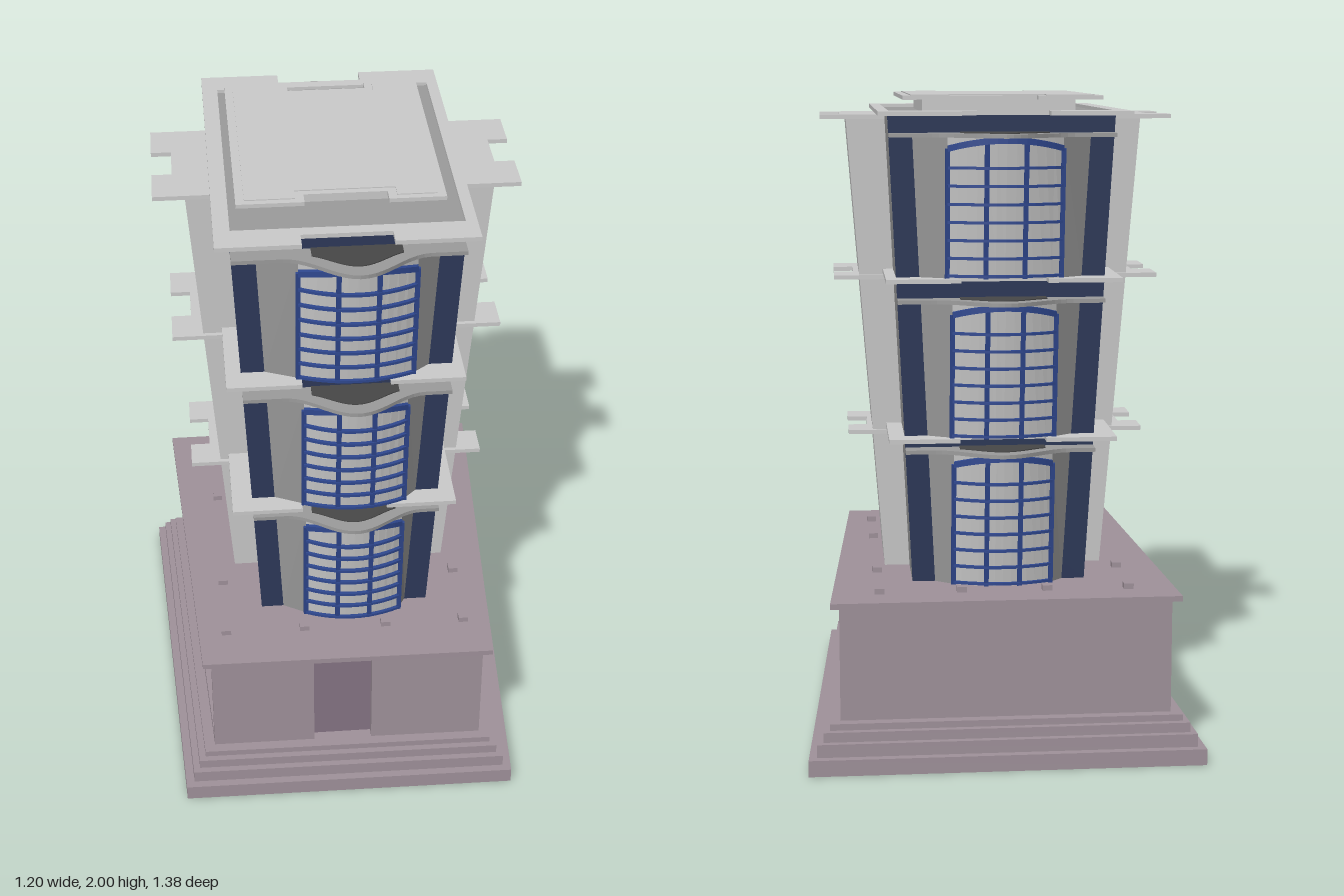
import * as THREE from 'three';

const mat = (color) => new THREE.MeshStandardMaterial({ color, side: THREE.DoubleSide, flatShading: true });
const light = mat(0xcccccc), grey = mat(0x9c9c9c), dark = mat(0x484848);
const navy = mat(0x2f3b5c), blue = mat(0x2f4890), stone = mat(0xa0929b), panel = mat(0x867484);

const V = (x, y, z) => new THREE.Vector3(x, y, z);
const lerp = THREE.MathUtils.lerp;

// Skin over rows of points; closed rows wrap round and get end caps
function skin(rows, closed = false) {
  const p = [];
  const tri = (...v) => v.forEach((q) => p.push(q.x, q.y, q.z));
  const n = rows[0].length;
  for (let r = 0; r < rows.length - 1; r++) {
    for (let i = 0; i < (closed ? n : n - 1); i++) {
      const j = (i + 1) % n, a = rows[r], b = rows[r + 1];
      tri(a[i], b[i], b[j]);
      tri(a[i], b[j], a[j]);
    }
  }
  if (closed) {
    for (let i = 1; i < n - 1; i++) {
      const a = rows[0], b = rows[rows.length - 1];
      tri(a[0], a[i], a[i + 1]);
      tri(b[0], b[i + 1], b[i]);
    }
  }
  const g = new THREE.BufferGeometry();
  g.setAttribute('position', new THREE.Float32BufferAttribute(p, 3));
  g.computeVertexNormals();
  return g;
}

// Rectangular bar following a path, with half sizes given as two vectors
const bar = (path, a, b) => skin(path.map((q) => [[1, 1], [-1, 1], [-1, -1], [1, -1]].map(
  ([s, t]) => q.clone().addScaledVector(a, s).addScaledVector(b, t))), true);

// Flat plate from a plan of [x, z] points between two heights
function plate(plan, y0, y1, hole) {
  const s = new THREE.Shape(plan.map(([x, z]) => new THREE.Vector2(x, z)));
  if (hole) s.holes.push(new THREE.Path(hole.map(([x, z]) => new THREE.Vector2(x, z))));
  return new THREE.ExtrudeGeometry(s, { depth: y1 - y0, bevelEnabled: false }).rotateX(Math.PI / 2).translate(0, y1, 0);
}

// Rectangle in plan with notches in its front and back edges
const notched = (x0, x1, z0, z1, n0, n1, d) => [
  [x0, z0], [n0, z0], [n0, z0 + d], [n1, z0 + d], [n1, z0], [x1, z0],
  [x1, z1], [n1, z1], [n1, z1 - d], [n0, z1 - d], [n0, z1], [x0, z1]];
const rect = (x0, x1, z0, z1) => [[x0, z0], [x1, z0], [x1, z1], [x0, z1]];
const ring = (plan, y) => plan.map(([x, z]) => V(x, y, z));

// Flaring tower dimensions by height
const Y0 = 0.51, Y1 = 1.945, CX = 0.007;
const k = (y) => (y - Y0) / (Y1 - Y0);
const halfX = (y) => lerp(0.267, 0.337, k(y));
const faceZ = (y, dir) => (dir > 0 ? lerp(0.34, 0.43, k(y)) : lerp(0.375, 0.485, k(y)));

const floors = [
  { y0: 0.51, awning: 0.935, slab: 0.975, wing: 0.955, hx: 0.345, zf: 0.44, zb: -0.48, wx: 0.463, wz: 0.172, win: 0.15 },
  { y0: 0.975, awning: 1.395, slab: 1.463, wing: 1.445, hx: 0.352, zf: 0.483, zb: -0.52, wx: 0.503, wz: 0.19, win: 0.155 },
  { y0: 1.463, awning: 1.887, slab: 1.955, wing: 1.937, hx: 0.373, zf: 0.52, zb: -0.563, wx: 0.54, wz: 0.205, win: 0.17 },
];

export function createModel() {
  const root = new THREE.Group();
  const add = (name, geometry, material, parent = root) => {
    const m = new THREE.Mesh(geometry, material);
    m.name = name;
    parent.add(m);
    return m;
  };

  // Stepped plinth on a tapering plan
  const corners = (i) => [[-0.6 + i, -0.69 + i], [0.6 - i, -0.695 + i], [0.525 - i, 0.69 - i], [-0.53 + i, 0.68 - i]];
  [[0, 0, 0.05], [0.025, 0.05, 0.09], [0.045, 0.09, 0.12], [0.065, 0.12, 0.14]].forEach(
    ([i, a, b]) => add('plinthStep', plate(corners(i), a, b), stone));

  // Base block with a doorway recess and sunken side panels
  const [bl, br, fr, fl] = corners(0.097);
  const along = (a, b, t, dx = 0) => [lerp(a[0], b[0], t) + dx, lerp(a[1], b[1], t)];
  const door = [[0.075, 0.588], [0.075, 0.553], [-0.11, 0.553], [-0.11, 0.585]];
  const rightCut = [along(br, fr, 0.015), along(br, fr, 0.015, -0.03), along(br, fr, 0.985, -0.03), along(br, fr, 0.985)];
  const leftCut = [along(fl, bl, 0.015), along(fl, bl, 0.015, 0.03), along(fl, bl, 0.985, 0.03), along(fl, bl, 0.985)];
  const plain = [bl, br, fr, ...door, fl];
  add('baseBottomRail', plate(plain, 0.14, 0.17), stone);
  add('baseBody', plate([bl, br, ...rightCut, fr, ...door, fl, ...leftCut], 0.17, 0.47), stone);
  add('baseTopRail', plate(plain, 0.47, 0.495), stone);
  add('baseTopSlab', plate(corners(0.07), 0.493, Y0), stone);
  const sheet = (a, b, dx, dz, y0, y1) => skin([y0, y1].map((y) => [a, b].map(([x, z]) => V(x + dx, y, z + dz))));
  add('sidePanel', sheet(rightCut[1], rightCut[2], 0.003, 0, 0.17, 0.47), panel);
  add('sidePanel', sheet(leftCut[1], leftCut[2], -0.003, 0, 0.17, 0.47), panel);
  add('doorPanel', sheet(door[1], door[2], 0, 0.003, 0.14, 0.493), panel);

  // Small studs on the base top
  for (const x of [-0.38, -0.13, 0.13, 0.38]) {
    for (const z of [-0.51, -0.25, 0.21, 0.46]) {
      if (Math.abs(x) < 0.2 && Math.abs(z) < 0.4) continue;
      add('stud', new THREE.BoxGeometry(0.03, 0.02, 0.03).translate(x, 0.517, z), stone);
    }
  }

  // Core and the wings passing through it
  add('towerCore', skin([Y0, Y1].map((y) => ring(
    rect(CX - halfX(y), CX + halfX(y), -faceZ(y, -1), faceZ(y, 1)), y)), true), grey);
  add('sideWings', skin([Y0, 1.93].map((y) => {
    const x = lerp(0.345, 0.455, k(y)), z = lerp(0.143, 0.193, k(y));
    return ring(rect(0.008 - x, 0.008 + x, -0.025 - z, -0.025 + z), y);
  }), true), light);

  // Bay window with its frame and awning; dir is +1 at the front, -1 at the back
  function bay(f, dir) {
    const g = new THREE.Group();
    g.name = dir > 0 ? 'frontBay' : 'backBay';
    root.add(g);
    const cx = dir > 0 ? 0.03 : 0.0, top = f.awning, h = top - f.y0;
    const at = (x, d, y) => V(x, y, dir * (faceZ(y, dir) + d * (1 + 0.4 * (y - f.y0) / h)));
    const us = Array.from({ length: 13 }, (_, i) => i / 6 - 1);
    const onGlass = (u, y, out = 0) => at(cx + u * f.win, 0.045 + 0.035 * (1 - u * u) + out, y);
    const ys = [f.y0, top];

    add('wallFrame', skin([f.y0, f.slab - 0.012].map((y) => [-1, 1].map((s) => at(CX + s * halfX(y), 0.004, y)))), navy, g);
    for (const s of [-1, 1]) {
      add('bayCheek', skin(ys.map((y) => [at(CX + s * (halfX(y) - 0.07), 0.004, y), onGlass(s, y)])), grey, g);
    }
    add('windowPanes', skin(ys.map((y) => us.map((u) => onGlass(u, y)))), light, g);

    const archY = (u) => top - 0.04 + 0.025 * (1 - u * u);
    const out = V(0, 0, 0.006);
    for (const u of [-1, -0.34, 0.34, 1]) {
      add('mullion', bar([f.y0, archY(u)].map((y) => onGlass(u, y, 0.003)), V(0.007, 0, 0), out), blue, g);
    }
    for (let i = 0; i < 7; i++) {
      const y = f.y0 + 0.008 + i * (h - 0.05) / 7;
      add('glazingBar', bar(us.map((u) => onGlass(u, y, 0.004)), V(0, 0.004, 0), V(0, 0, 0.008)), blue, g);
    }
    add('windowArch', bar(us.map((u) => onGlass(u, archY(u), 0.004)), V(0, 0.009, 0), V(0, 0, 0.008)), blue, g);

    // Wavy awning and its dark inset
    const face = faceZ(top, dir), H = halfX(top);
    const wave = (x, r) => (Math.abs(x) > r ? 0 : 0.5 + 0.5 * Math.cos(Math.PI * x / r));
    const edge = (x0, x1, fn) => Array.from({ length: 33 }, (_, i) => {
      const x = lerp(x0, x1, i / 32);
      return [x, dir * (face + fn(x - cx))];
    });
    const rise = f.win * 0.62;
    add('awning', plate([[CX - H, dir * (face - 0.03)],
      ...edge(CX - H, CX + H, (x) => 0.06 + rise * wave(x, 0.21)), [CX + H, dir * (face - 0.03)]], top - 0.008, top + 0.004), grey, g);
    add('awningInset', plate([[cx - 0.13, dir * face],
      ...edge(cx - 0.13, cx + 0.13, (x) => 0.045 + 0.68 * rise * wave(x, 0.16)), [cx + 0.13, dir * face]], top, top + 0.007), dark, g);
  }

  for (const f of floors) {
    bay(f, 1);
    bay(f, -1);
    // Floor slab ring, notched over the bays
    const hx = halfX(f.slab) - 0.005;
    add('floorSlab', plate(notched(-f.hx, f.hx, f.zb, f.zf, -0.13, 0.13, 0.055), f.slab - 0.013, f.slab,
      rect(CX - hx, CX + hx, -faceZ(f.slab, -1) + 0.015, faceZ(f.slab, 1) - 0.005)), light);
    // Wing slabs, notched at their outer ends
    for (const s of [-1, 1]) {
      const z = -0.025, e = s * f.wx, n = s * (f.wx - 0.06);
      add('wingSlab', plate([[s * 0.2, z - f.wz], [e, z - f.wz], [e, z - 0.07], [n, z - 0.07],
        [n, z + 0.07], [e, z + 0.07], [e, z + f.wz], [s * 0.2, z + f.wz]], f.wing - 0.013, f.wing), light);
    }
  }

  // Raised roof cap
  add('roofBase', plate(rect(-0.232, 0.232, -0.31, 0.26), 1.94, 1.99), light);
  add('roofPlate', plate(notched(-0.305, 0.295, -0.405, 0.355, -0.11, 0.13, 0.045), 1.985, 1.997), light);
  add('roofInset', plate(notched(-0.28, 0.27, -0.385, 0.335, -0.135, 0.155, 0.045), 1.997, 2), light);
  return root;
}
